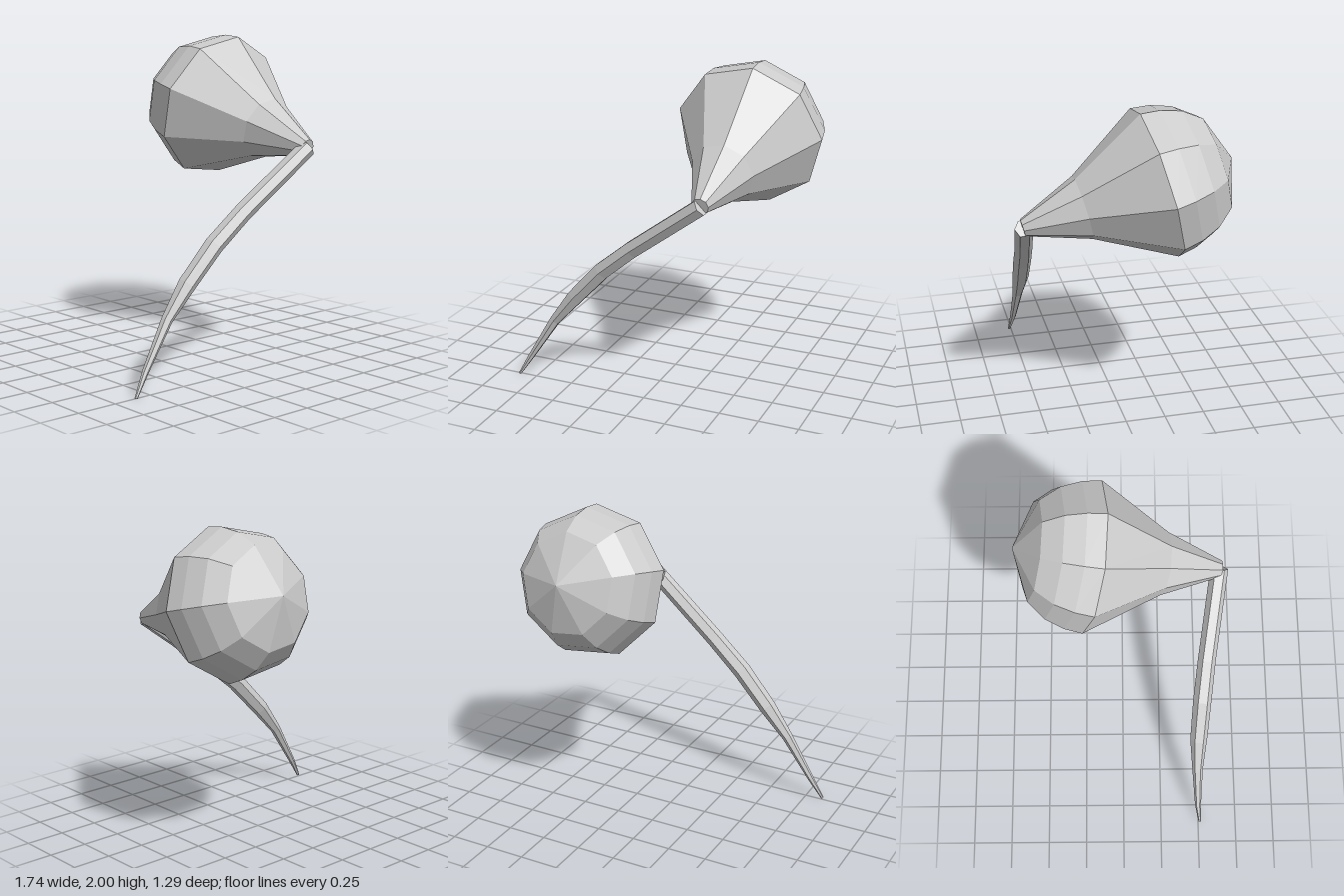
import * as THREE from 'three';

const material = new THREE.MeshStandardMaterial({ color: 0xcccccc, flatShading: true });

// Skins rings [x, y, z, radius] into a closed, faceted tube.
function loft(rings, sides) {
  const centres = rings.map(([x, y, z]) => new THREE.Vector3(x, y, z));
  const last = rings.length - 1;
  const positions = [];
  const index = [];
  centres.forEach((c, i) => {
    const t = centres[Math.min(i + 1, last)].clone().sub(centres[Math.max(i - 1, 0)]).normalize();
    const n = new THREE.Vector3(0, 0, 1).addScaledVector(t, -t.z).normalize();
    const b = t.clone().cross(n);
    for (let j = 0; j < sides; j++) {
      const a = (j / sides) * Math.PI * 2;
      const p = c.clone()
        .addScaledVector(n, rings[i][3] * Math.cos(a))
        .addScaledVector(b, rings[i][3] * Math.sin(a));
      positions.push(p.x, p.y, p.z);
    }
  });
  // cap centres
  const start = positions.length / 3;
  for (const c of [centres[0], centres[last]]) positions.push(c.x, c.y, c.z);
  for (let j = 0; j < sides; j++) {
    const k = (j + 1) % sides;
    for (let i = 0; i < last; i++) {
      const r0 = i * sides, r1 = r0 + sides;
      index.push(r0 + j, r0 + k, r1 + k, r0 + j, r1 + k, r1 + j);
    }
    index.push(start, k, j, start + 1, last * sides + j, last * sides + k);
  }
  const geometry = new THREE.BufferGeometry();
  geometry.setAttribute('position', new THREE.Float32BufferAttribute(positions, 3));
  geometry.setIndex(index);
  geometry.computeVertexNormals();
  return geometry;
}

export function createModel() {
  const group = new THREE.Group();

  // Nine-sided bulb: narrow neck, flaring cone, domed back. Measured along its axis from the widest ring.
  const profile = [
    [0, -0.82], [0.052, -0.82], [0.195, -0.455], [0.465, 0],
    [0.447, 0.115], [0.4, 0.235], [0.308, 0.347], [0, 0.467],
  ].map(([r, y]) => new THREE.Vector2(r, y));
  const bulb = new THREE.Mesh(
    new THREE.LatheGeometry(profile, 9, THREE.MathUtils.degToRad(87)), material);
  bulb.name = 'bulb';
  bulb.position.set(0.405, 1.548, -0.195);
  bulb.rotation.x = THREE.MathUtils.degToRad(-75.4);
  group.add(bulb);

  // Curved stem, tapering to a point at the foot
  const stem = new THREE.Mesh(loft([
    [-0.862, 0.01, 0.512, 0.009],
    [-0.78, 0.145, 0.495, 0.02],
    [-0.61, 0.415, 0.482, 0.034],
    [-0.46, 0.6, 0.483, 0.054],
    [-0.265, 0.81, 0.5, 0.058],
    [-0.055, 0.987, 0.524, 0.056],
    [0.41, 1.34, 0.592, 0.055],
  ], 6), material);
  stem.name = 'stem';
  group.add(stem);

  return group;
}
